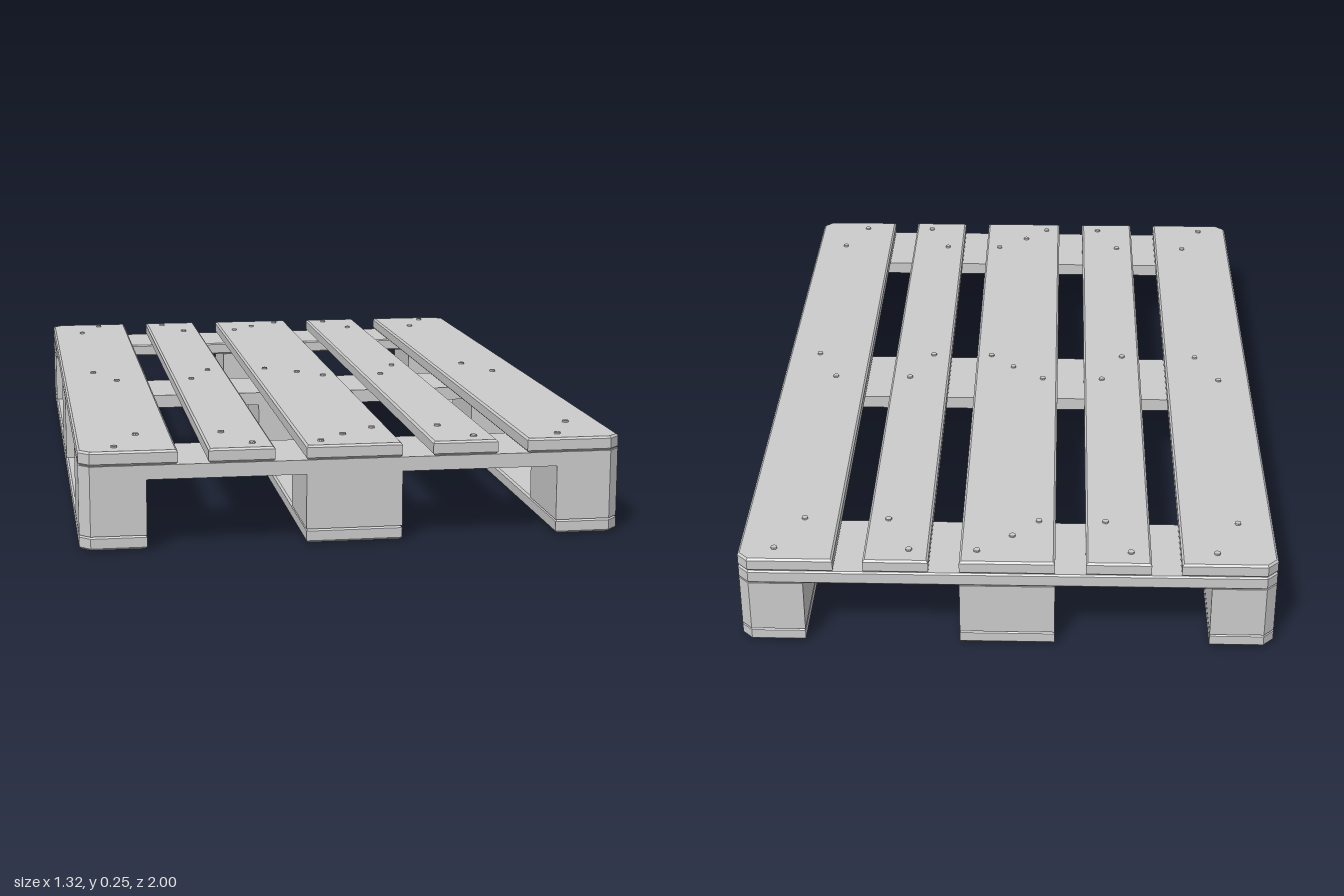
import * as THREE from 'three';

const material = new THREE.MeshStandardMaterial({ color: 0xcccccc, flatShading: true });
const CUT = 0.026; // diagonal cut on the outer corners

// Timber with plan x0..x1, z0..z1 and height y0..y1; corners at the pallet's corners are cut off.
function timber(name, [x0, x1], [z0, z1], [y0, y1], bevel = 0) {
  const corners = [[x0, z0], [x1, z0], [x1, z1], [x0, z1]];
  const points = [];
  corners.forEach(([x, z], i) => {
    if (Math.abs(x) > 0.655 && Math.abs(z) > 0.99) {
      const alongX = new THREE.Vector2(x - Math.sign(x) * CUT, z);
      const alongZ = new THREE.Vector2(x, z - Math.sign(z) * CUT);
      points.push(...(i % 2 ? [alongX, alongZ] : [alongZ, alongX]));
    } else points.push(new THREE.Vector2(x, z));
  });
  const geometry = new THREE.ExtrudeGeometry(new THREE.Shape(points), {
    depth: y1 - y0 - 2 * bevel, bevelEnabled: bevel > 0, bevelSize: bevel,
    bevelThickness: bevel, bevelOffset: -bevel, bevelSegments: 1,
  });
  geometry.rotateX(Math.PI / 2).translate(0, y1 - bevel, 0);
  const mesh = new THREE.Mesh(geometry, material);
  mesh.name = name;
  return mesh;
}

const nailGeometry = new THREE.CylinderGeometry(0.008, 0.008, 0.008, 10);
function nail(x, y, z) {
  const mesh = new THREE.Mesh(nailGeometry, material);
  mesh.name = 'nailHead';
  mesh.position.set(x, y, z);
  return mesh;
}

export function createModel() {
  const pallet = new THREE.Group();
  pallet.name = 'pallet';

  // Height of each layer
  const bottomY = [0.004, 0.038], blockY = [0.038, 0.173], crossY = [0.173, 0.208], topY = [0.208, 0.243];
  const fullZ = [-1, 1];
  const outer = [[-0.66, -0.5], [-0.117, 0.117], [0.5, 0.66]];
  const rows = [[-1, -0.763], [-0.12, 0.12], [0.763, 1]];
  const topX = [[-0.66, -0.425], [-0.352, -0.192], [-0.117, 0.117], [0.192, 0.352], [0.425, 0.66]];

  // Long boards of the deck and the three runners
  topX.forEach((x) => pallet.add(timber('deckBoard', x, fullZ, topY, 0.005)));
  outer.forEach((x) => pallet.add(timber('bottomRunner', x, fullZ, bottomY, 0.005)));

  // Cross boards with the nine blocks beneath them
  rows.forEach((z, row) => {
    pallet.add(timber('crossBoard', [-0.66, 0.66], z, crossY, row === 0 ? 0.004 : 0));
    outer.forEach((x) => pallet.add(timber('block', x, z, blockY)));
  });

  // Nail heads, staggered in pairs (three on the wide centre board)
  const addNails = (boards, y) => boards.forEach(([x0, x1], board) => {
    const cx = (x0 + x1) / 2;
    const centre = cx === 0;
    rows.forEach(([z0, z1], row) => {
      const cz = (z0 + z1) / 2;
      const flip = (board + row) % 2 ? 1 : -1;
      const spread = centre ? 0.075 : 0.03;
      pallet.add(nail(cx - spread, y, cz - flip * 0.068), nail(cx + spread, y, cz + flip * 0.068));
      if (centre) pallet.add(nail(0.01 * flip, y, cz));
    });
  });
  addNails(topX, 0.2435);
  addNails(outer, 0.004);

  return pallet;
}
